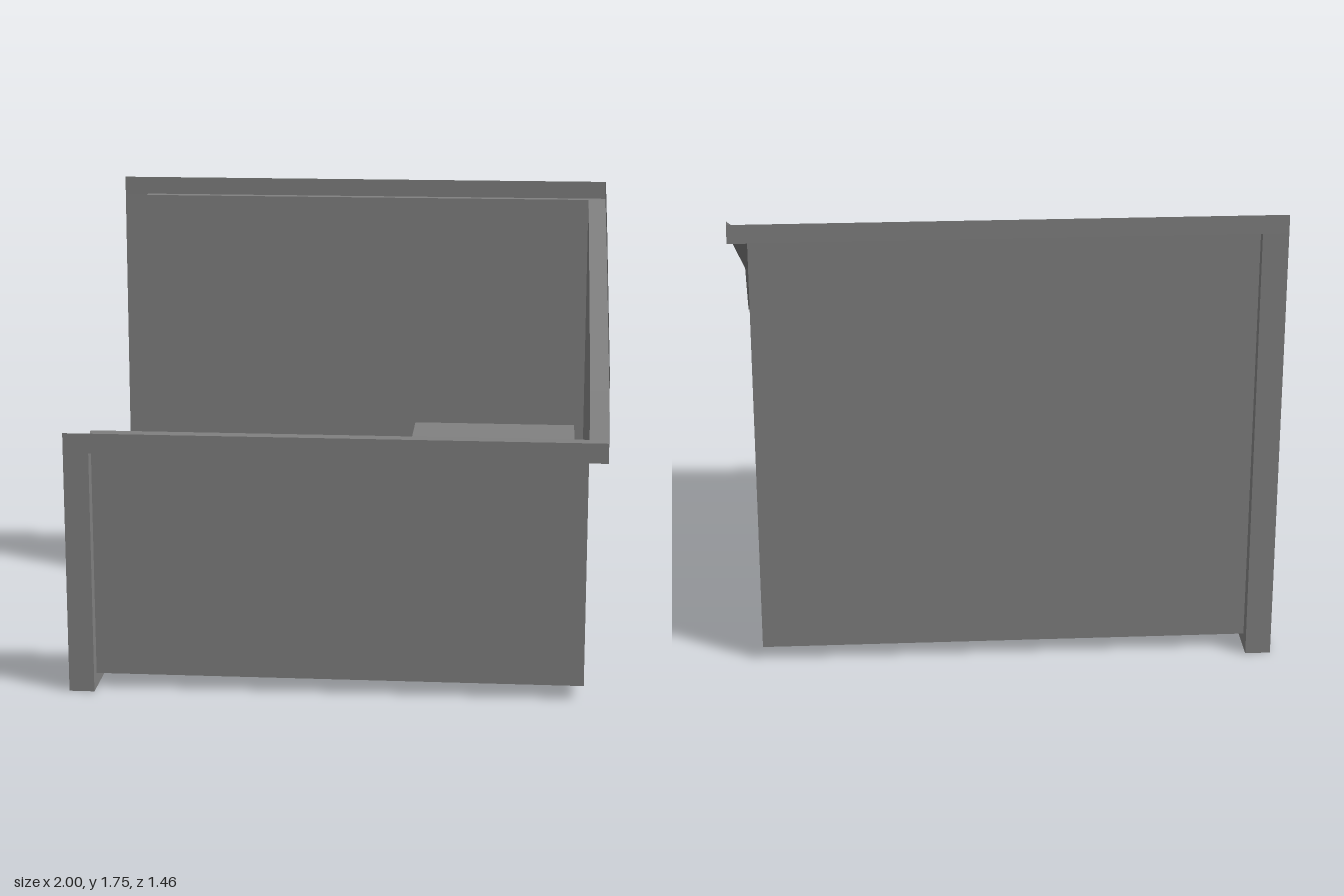
import * as THREE from 'three';

const grey = new THREE.MeshStandardMaterial({ color: 0x808080, side: THREE.DoubleSide });
grey.name = 'plainGrey';

// Key stations along x: open end, start of the frame, end wall, outer rim
const OPEN = -1, FRAME = -0.905, WALL = 0.93, RIM = 1;

// Side profiles as [z, y], running from front to back
const ledge = [[0.73, 0.925], [0.677, 1.0], [0.57, 1.16], [-0.32, 1.55], [-0.69, 1.68], [-0.73, 1.68]];
const rimTop = [[0.73, 1.0], [0.677, 1.065], [0.57, 1.225], [-0.32, 1.62], [-0.69, 1.75], [-0.73, 1.75]];
const trough = [[0.677, 1.0], [0.675, 0.055], [-0.66, 0.055], [-0.69, 1.68]];
const frame = [[0.73, 0.925], [0.728, 0], [-0.717, 0], [-0.73, 1.68]];

// Places a [z, y] profile at a given x
const at = (profile, x) => profile.map(([z, y]) => [x, y, z]);

function add(group, name, geometry) {
  const mesh = new THREE.Mesh(geometry, grey);
  mesh.name = name;
  group.add(mesh);
  return mesh;
}

// Flat-shaded sheet spanning two paths with the same number of points
function strip(a, b) {
  const p = [];
  for (let i = 0; i < a.length - 1; i++) {
    p.push(...a[i], ...b[i], ...b[i + 1], ...a[i], ...b[i + 1], ...a[i + 1]);
  }
  const g = new THREE.BufferGeometry();
  g.setAttribute('position', new THREE.Float32BufferAttribute(p, 3));
  g.computeVertexNormals();
  return g;
}

// Flat panel facing +x with a rectangular hole
function panel(profile, hole, x) {
  const points = (list) => list.map(([z, y]) => new THREE.Vector2(-z, y));
  const shape = new THREE.Shape(points(profile));
  shape.holes.push(new THREE.Path(points(hole)));
  return new THREE.ShapeGeometry(shape).rotateY(Math.PI / 2).translate(x, 0, 0);
}

const rect = (z0, z1, y0, y1) => [[z0, y0], [z1, y0], [z1, y1], [z0, y1]];
const closed = (list) => [...list, list[0]];

export function createModel() {
  const model = new THREE.Group();
  model.name = 'openBin';

  // Trough: front wall, floor and back wall
  add(model, 'troughWalls', strip(at(trough, FRAME), at(trough, WALL)));

  // Stepped frame around the open end
  add(model, 'frameStep', strip(at(trough, FRAME), at(frame, FRAME)));
  add(model, 'openEndFrame', strip(at(frame, OPEN), at(frame, FRAME)));

  // End wall with its window
  const windowRect = rect(0.255, -0.345, 0.27, 0.75);
  const endOutline = [trough[1], trough[2], ...ledge.slice(1, 5).reverse()];
  add(model, 'endWall', panel(endOutline, windowRect, WALL));

  // Outward ledge and upright rim along the end wall, front and back
  add(model, 'endLedge', strip(at(ledge, WALL), at(ledge, RIM)));
  add(model, 'endRim', strip(at(ledge, RIM), at(rimTop, RIM)));
  for (const [name, tip, root] of [['front', 0, 1], ['back', 5, 4]]) {
    const line = (p, x0, x1) => [x0, x1].map((x) => [x, p[1], p[0]]);
    add(model, name + 'Ledge', strip(line(ledge[root], FRAME, WALL), line(ledge[tip], FRAME, WALL)));
    add(model, name + 'Rim', strip(line(ledge[tip], OPEN, RIM), line(rimTop[tip], OPEN, RIM)));
  }

  // Hollow compartment behind the window
  const compartment = new THREE.Group();
  compartment.name = 'compartment';
  model.add(compartment);
  const inner = 0.23, mouth = 0.89;
  const boxRect = rect(0.56, -0.57, 0.14, 0.755);
  add(compartment, 'windowReveal', strip(at(closed(windowRect), mouth), at(closed(windowRect), WALL)));
  add(compartment, 'compartmentSides', strip(at(closed(boxRect), inner), at(closed(boxRect), mouth)));
  add(compartment, 'compartmentFront', panel(boxRect, windowRect, mouth));
  add(compartment, 'compartmentBack', new THREE.PlaneGeometry(1.13, 0.615).rotateY(-Math.PI / 2))
    .position.set(inner, 0.4475, -0.005);

  // Roller inside and its end cap
  const roller = add(compartment, 'roller', new THREE.CylinderGeometry(0.126, 0.126, 1.12, 40).rotateX(Math.PI / 2));
  roller.position.set(0.63, 0.496, -0.005);
  const cap = add(compartment, 'rollerCap', new THREE.CylinderGeometry(0.162, 0.162, 0.032, 40).rotateX(Math.PI / 2));
  cap.position.set(0.63, 0.496, -0.585);

  return model;
}
